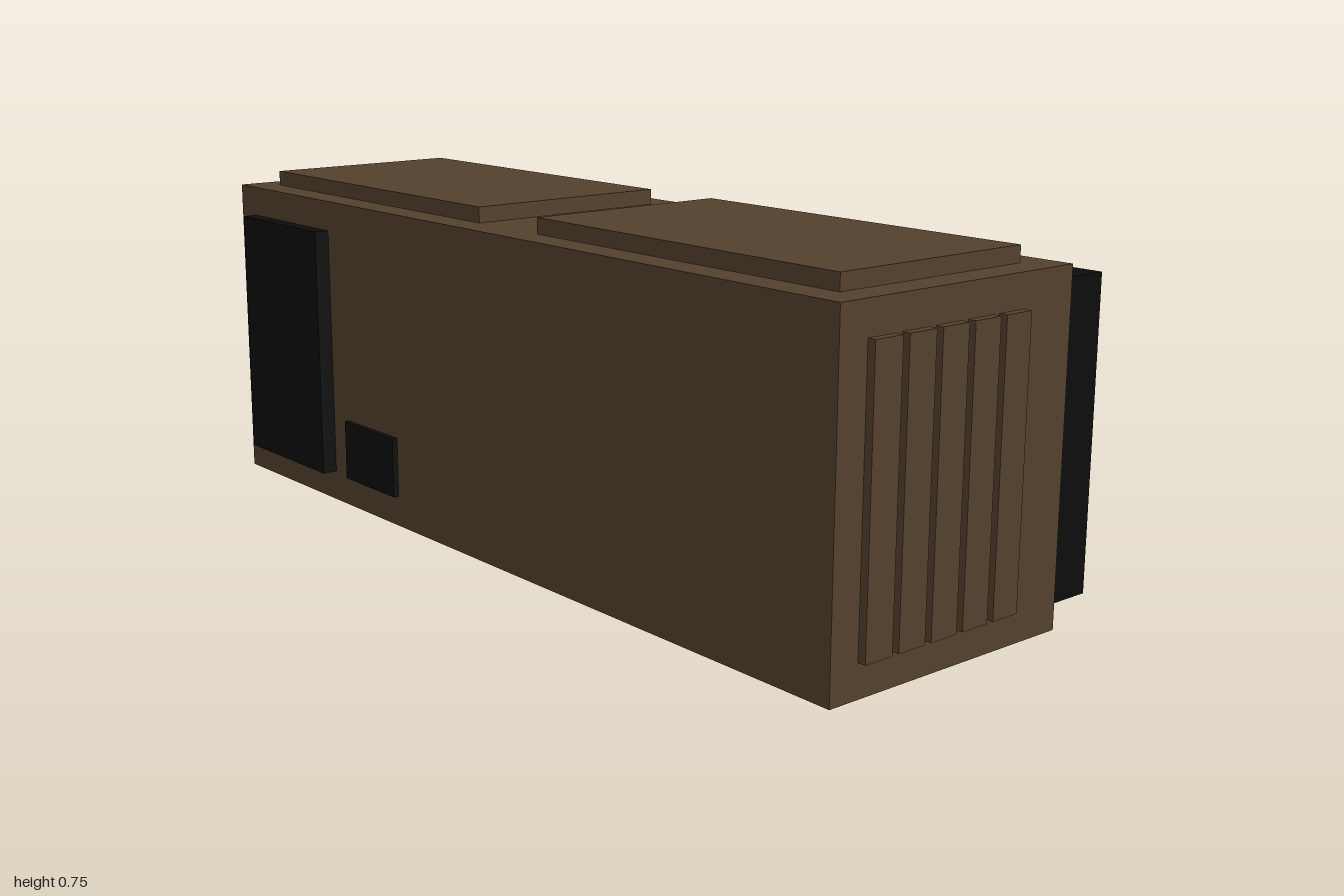
import * as THREE from 'three';

export function createModel() {
  const model = new THREE.Group();
  const brown = new THREE.MeshStandardMaterial({ color: 0x54412d });
  const black = new THREE.MeshStandardMaterial({ color: 0x0d0d0d });

  // Box given by its extents on each axis
  function box(name, [x0, x1], [y0, y1], [z0, z1], material) {
    const mesh = new THREE.Mesh(new THREE.BoxGeometry(x1 - x0, y1 - y0, z1 - z0), material);
    mesh.position.set((x0 + x1) / 2, (y0 + y1) / 2, (z0 + z1) / 2);
    mesh.name = name;
    model.add(mesh);
  }

  // Main casing, brown with a black rear face
  box('casing', [-0.983, 0.983], [0.033, 0.722], [-0.246, 0.345],
    [brown, brown, brown, brown, brown, black]);

  // Raised block on the rear
  box('rearBlock', [-0.95, 0.95], [0.066, 0.689], [-0.378, -0.246], black);

  // Front panels
  box('frontPanel', [-0.918, -0.59], [0.1, 0.656], [0.345, 0.378], black);
  box('smallFrontPanel', [-0.525, -0.328], [0.1, 0.232], [0.345, 0.357], black);

  for (const side of [-1, 1]) {
    const label = side > 0 ? 'left' : 'right';
    const span = (a, b) => (side > 0 ? [a, b] : [-b, -a]);

    // Raised plates above and below
    box(label + 'TopPlate', span(0.098, 0.918), [0.722, 0.755], [-0.18, 0.279], brown);
    box(label + 'BottomPlate', span(0.098, 0.918), [0, 0.033], [-0.18, 0.279], brown);

    // Five upright ribs on each end
    for (let i = 0; i < 5; i++) {
      const z = 0.279 - i * 0.082;
      box(label + 'Rib' + (i + 1), span(0.983, 1), [0.1, 0.656], [z - 0.066, z], brown);
    }
  }
  return model;
}
